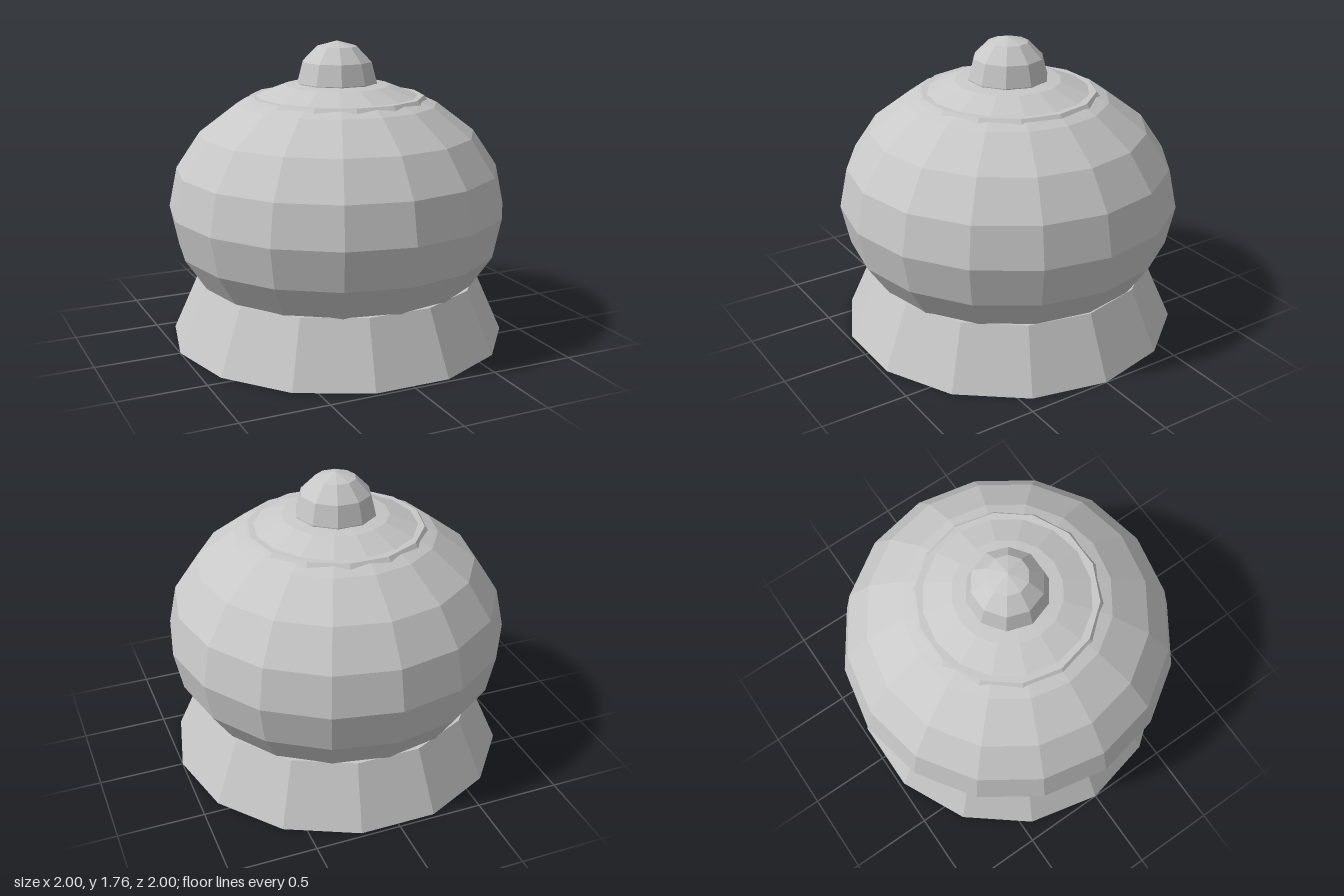
import * as THREE from 'three';

export function createModel() {
  const group = new THREE.Group();
  const grey = new THREE.MeshStandardMaterial({ color: 0xc8c8c8 });
  grey.name = 'plain grey';
  grey.flatShading = true;

  const add = (name, geometry, y) => {
    const mesh = new THREE.Mesh(geometry, grey);
    mesh.name = name;
    mesh.position.y = y;
    group.add(mesh);
    return mesh;
  };

  // Flared 14-sided foot, a corner pointing along +x
  add('base', new THREE.CylinderGeometry(0.838, 1, 0.365, 14).rotateY(Math.PI / 2), 0.1825);

  // Squashed faceted dome
  add('dome', new THREE.SphereGeometry(1, 16, 10).scale(1, 0.76, 1), 0.785);

  // Thin disc whose rim just breaks through the dome
  add('rimDisc', new THREE.CylinderGeometry(0.51, 0.54, 0.04, 14).rotateY(Math.PI / 2), 1.425);

  // Small 10-sided knob on top
  add('knob', new THREE.SphereGeometry(0.236, 10, 6).scale(1, 1.02, 1), 1.522);

  return group;
}
